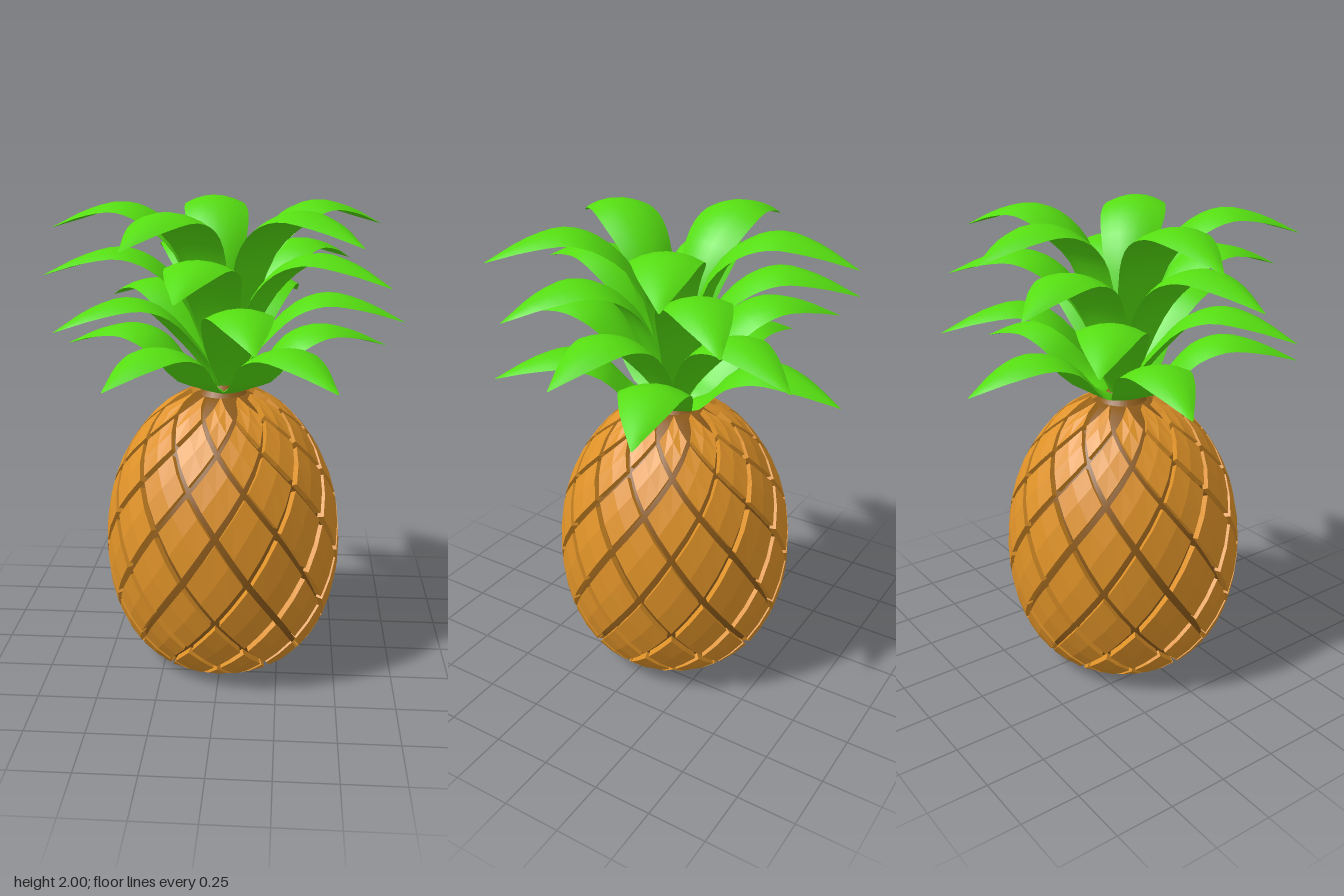
import * as THREE from 'three';
import { toCreasedNormals } from 'three/addons/utils/BufferGeometryUtils.js';

const AROUND = 12; // tiles around the fruit

// Outer profile of the fruit (radius, height), one point per half row of tiles
const PROFILE = new THREE.CatmullRomCurve3([
  [0.05, 0.012], [0.17, 0.004], [0.29, 0.012], [0.39, 0.1], [0.455, 0.21], [0.5, 0.36], [0.515, 0.54],
  [0.495, 0.74], [0.44, 0.91], [0.355, 1.05], [0.25, 1.16], [0.12, 1.235],
].map(([r, y]) => new THREE.Vector3(r, y, 0)));
const ROWS = PROFILE.points.length - 1;

// Profile point at row v, pushed inward along its normal by depth
function profileAt(v, depth = 0) {
  const t = THREE.MathUtils.clamp(v / ROWS, 0, 1);
  const p = PROFILE.getPoint(t), d = PROFILE.getTangent(t);
  return new THREE.Vector2(Math.max(0.005, p.x - d.y * depth), p.y + d.x * depth);
}

function fromTriangles(positions) {
  const geometry = new THREE.BufferGeometry();
  geometry.setAttribute('position', new THREE.Float32BufferAttribute(positions, 3));
  geometry.computeVertexNormals();
  return geometry;
}

// Adds a quad given its corners counter-clockwise
function quad(out, a, b, c, d) {
  for (const p of [a, b, c, a, c, d]) out.push(p.x, p.y, p.z);
}

// One raised diamond with walls running down into the groove
function addTile(out, angle, row) {
  const N = 2, size = 0.86;
  const point = (i, j, depth) => {
    const s = (2 * i) / N - 1, t = (2 * j) / N - 1;
    const a = angle + ((s - t) / 2) * size * (Math.PI / AROUND);
    const p = profileAt(row + ((s + t) / 2) * size, depth);
    return new THREE.Vector3(p.x * Math.sin(a), p.y, p.x * Math.cos(a));
  };
  for (let i = 0; i < N; i++) {
    for (let j = 0; j < N; j++) {
      quad(out, point(i, j, 0), point(i + 1, j, 0), point(i + 1, j + 1, 0), point(i, j + 1, 0));
    }
  }
  const rim = [];
  for (let k = 0; k < N; k++) rim.push([k, 0]);
  for (let k = 0; k < N; k++) rim.push([N, k]);
  for (let k = N; k > 0; k--) rim.push([k, N]);
  for (let k = N; k > 0; k--) rim.push([0, k]);
  rim.forEach(([i, j], k) => {
    const [m, n] = rim[(k + 1) % rim.length];
    quad(out, point(i, j, 0.04), point(m, n, 0.04), point(m, n, 0), point(i, j, 0));
  });
}

// Arching leaf along +x, domed across, whose crest reaches the given height
function leafGeometry(top) {
  const foot = 1.2, bend = top - 0.18;
  // radius, height, half width
  const path = new THREE.CatmullRomCurve3([
    [0.02, foot, 0.03], [0.07, (foot + bend) / 2, 0.065], [0.16, bend, 0.11], [0.29, top - 0.045, 0.138],
    [0.42, top, 0.13], [0.57, top - 0.03, 0.088], [0.74, top - 0.11, 0.003],
  ].map((p) => new THREE.Vector3(...p)));
  const STEPS = 18, ACROSS = 6, rings = [];
  for (let i = 0; i <= STEPS; i++) {
    const p = path.getPoint(i / STEPS), d = path.getTangent(i / STEPS);
    const n = new THREE.Vector2(-d.y, d.x).normalize();
    const w = Math.max(0.003, p.z), ring = [];
    const add = (u, thick) => {
      const drop = 0.27 * w * u * u + thick * (1 - u * u);
      ring.push(new THREE.Vector3(p.x - n.x * drop, p.y - n.y * drop, u * w));
    };
    for (let k = 0; k <= ACROSS; k++) add((2 * k) / ACROSS - 1, 0);
    for (let k = ACROSS - 1; k > 0; k--) add((2 * k) / ACROSS - 1, Math.min(0.03, w * 0.4));
    rings.push(ring);
  }
  const out = [];
  for (let i = 0; i < STEPS; i++) {
    const a = rings[i], b = rings[i + 1];
    a.forEach((_, k) => {
      const m = (k + 1) % a.length;
      quad(out, a[k], a[m], b[m], b[k]);
    });
  }
  return toCreasedNormals(fromTriangles(out), 0.8);
}

export function createModel() {
  const model = new THREE.Group();
  const skin = new THREE.MeshStandardMaterial({ color: 0xdf9228, flatShading: true });
  const groove = new THREE.MeshStandardMaterial({ color: 0x8c5a1a });
  const green = new THREE.MeshStandardMaterial({ color: 0x55dd11, side: THREE.DoubleSide });
  const add = (parent, name, geometry, material) => {
    const mesh = new THREE.Mesh(geometry, material);
    mesh.name = name;
    parent.add(mesh);
    return mesh;
  };

  // Inner core seen in the grooves
  const corePoints = [new THREE.Vector2(0, 0.035)];
  for (let i = 0; i <= 33; i++) corePoints.push(profileAt((i / 33) * ROWS, 0.03));
  corePoints.push(new THREE.Vector2(0, 1.215));
  add(model, 'core', new THREE.LatheGeometry(corePoints, 48), groove);

  // Staggered rows of diamond tiles
  const tiles = [];
  for (let row = 1; row < ROWS; row++) {
    for (let k = 0; k < AROUND; k++) {
      addTile(tiles, ((k + (row % 2) / 2) * 2 * Math.PI) / AROUND, row);
    }
  }
  add(model, 'skinTiles', fromTriangles(tiles), skin);

  // Short stem under the crown
  const stem = add(model, 'stem', new THREE.CylinderGeometry(0.02, 0.11, 0.1, 16), groove);
  stem.position.y = 1.25;

  // Crown: four tiers of five leaves (crest height, turn in degrees)
  const crown = new THREE.Group();
  crown.name = 'crown';
  crown.position.x = 0.008;
  model.add(crown);
  [[2, 44], [1.83, 28], [1.65, 6], [1.48, 52]].forEach(([top, turn]) => {
    const geometry = leafGeometry(top);
    for (let k = 0; k < 5; k++) {
      const leaf = add(crown, 'leaf', geometry, green);
      leaf.rotation.y = -THREE.MathUtils.degToRad(turn + 72 * k);
    }
  });

  return model;
}
